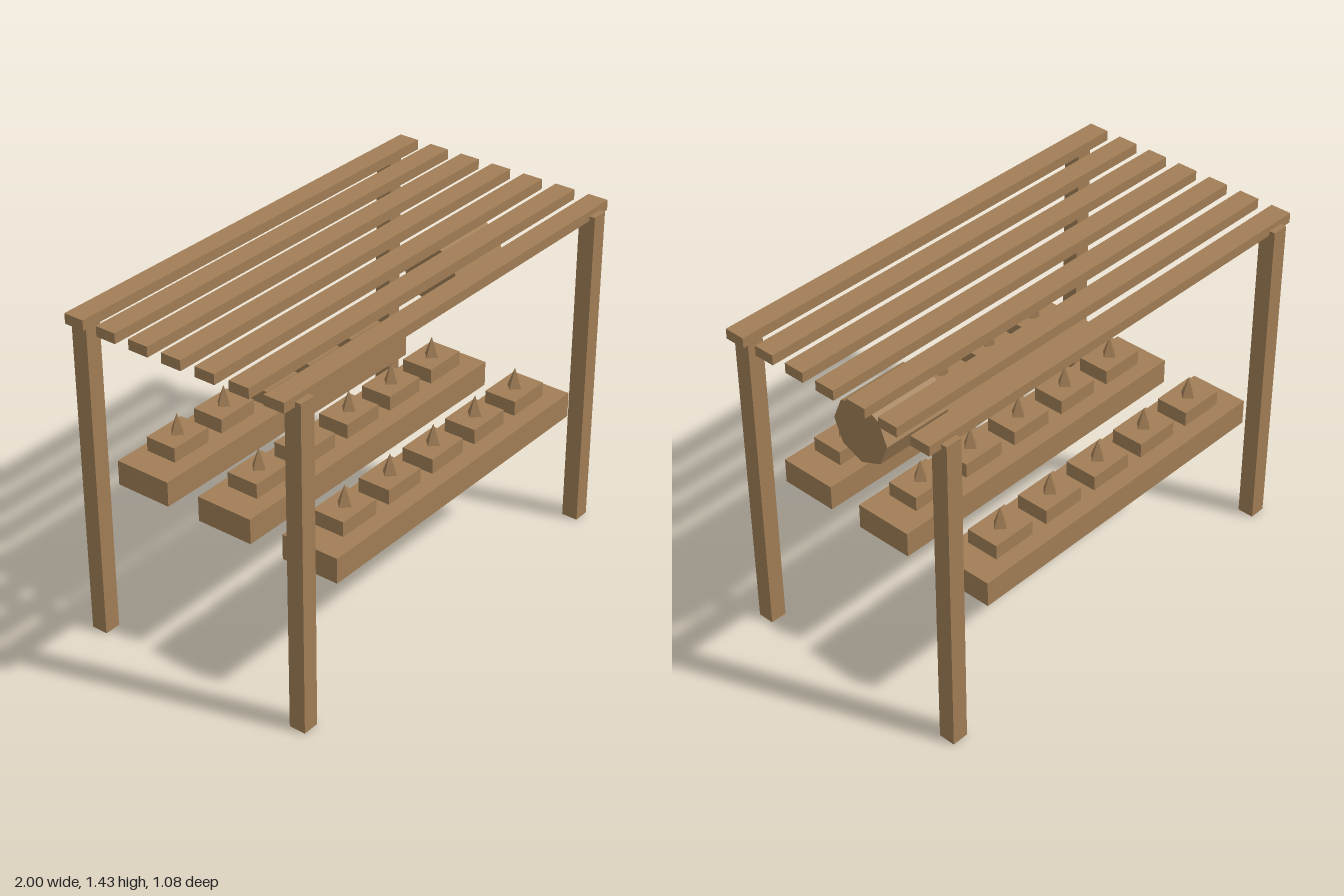
import * as THREE from 'three';

const wood = new THREE.MeshStandardMaterial({ color: 0xa17e56, flatShading: true });

export function createModel() {
  const model = new THREE.Group();

  const add = (name, geometry, x, y, z) => {
    const mesh = new THREE.Mesh(geometry, wood);
    mesh.name = name;
    mesh.position.set(x, y, z);
    model.add(mesh);
    return mesh;
  };

  // Corner posts
  const post = new THREE.BoxGeometry(0.072, 1.41, 0.072);
  for (const x of [-0.907, 0.907])
    for (const z of [-0.501, 0.501]) add('post', post, x, 0.705, z);

  // Roof slats, laid lengthwise with gaps between them
  const slat = new THREE.BoxGeometry(2, 0.043, 0.09);
  for (let i = -3; i <= 3; i++) add('roofSlat', slat, 0, 1.411, i * 0.1555);

  // Three shelves, each carrying five blocks topped by a four-sided spike
  const shelf = new THREE.BoxGeometry(1.5, 0.108, 0.255);
  const block = new THREE.BoxGeometry(0.196, 0.063, 0.142);
  const spike = new THREE.ConeGeometry(0.033, 0.087, 4);
  for (const z of [-0.41, 0, 0.41]) {
    add('shelf', shelf, 0, 0.621, z);
    for (let i = -2; i <= 2; i++) {
      add('block', block, i * 0.2725, 0.7215, z);
      add('spike', spike, i * 0.2725, 0.7965, z);
    }
  }

  // Eight-sided drum hanging on its side under the roof
  const drum = new THREE.CylinderGeometry(0.136, 0.136, 0.316, 8);
  add('drum', drum, 0.682, 1.138, 0).rotation.z = Math.PI / 2;

  return model;
}
